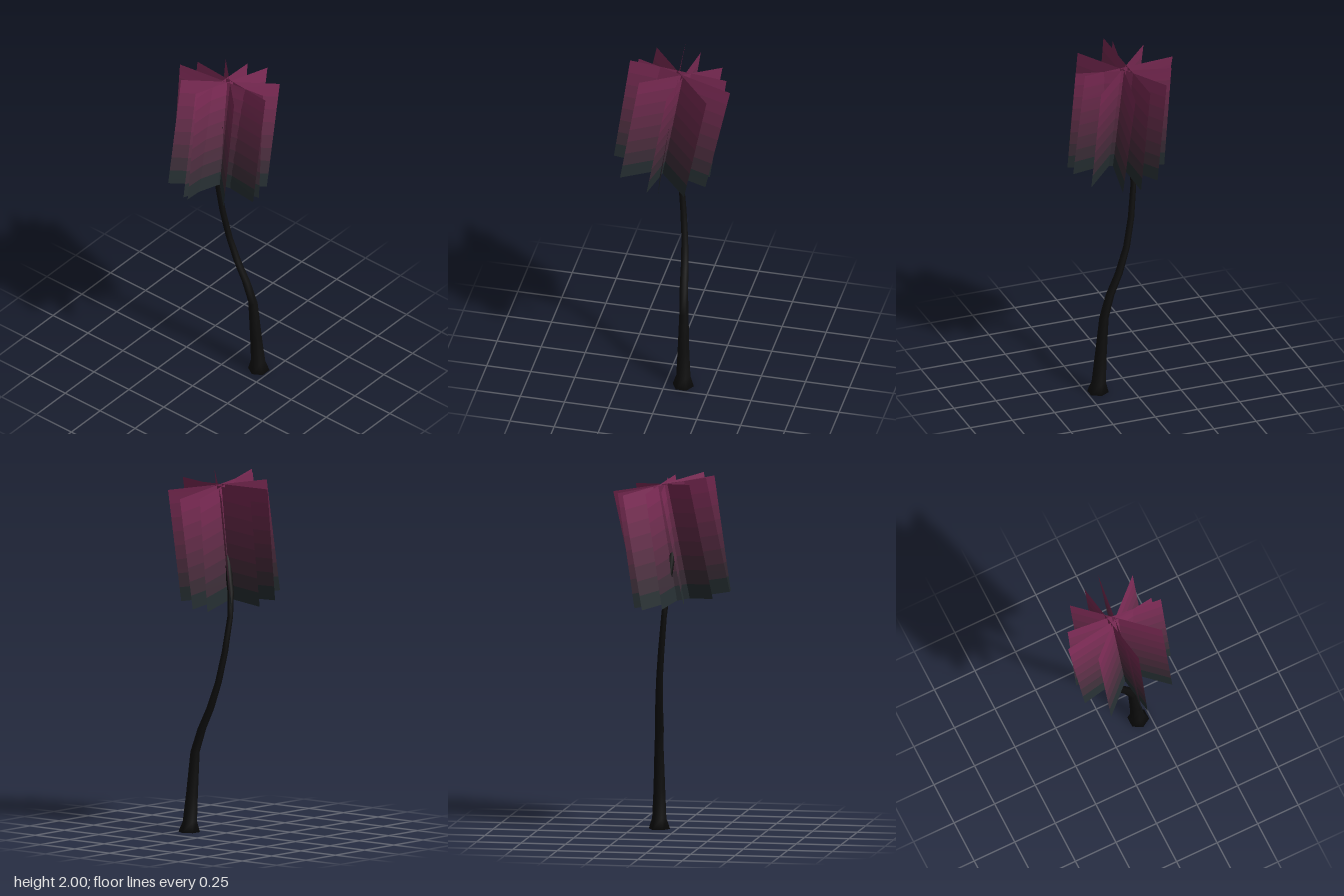
import * as THREE from 'three';

// Trunk centre line: x, y, z, radius
const TRUNK = [
  [0.10, 0, 0.185, 0], [0.10, 0, 0.185, 0.06], [0.10, 0.06, 0.18, 0.04],
  [0.097, 0.22, 0.167, 0.033], [0.095, 0.45, 0.147, 0.026], [0.085, 0.58, 0.107, 0.024],
  [0.077, 0.70, 0.052, 0.022], [0.066, 0.85, 0.002, 0.019], [0.05, 1.02, -0.031, 0.018],
  [0.03, 1.22, -0.053, 0.016], [0.016, 1.35, -0.044, 0.018], [0, 1.52, -0.008, 0.02],
  [-0.01, 1.60, 0.01, 0.014], [-0.02, 1.68, 0.022, 0],
];

// Each blade crosses the crown: top edge x,z to x,z, then bottom edge x,z to x,z
const BLADES = [
  [0.335, 0.053, -0.20, -0.02, 0.20, 0.075, -0.33, 0],
  [0.29, -0.052, -0.24, 0.02, 0.20, -0.032, -0.33, 0.03],
  [0.24, -0.168, -0.145, 0.21, 0.135, -0.155, -0.25, 0.222],
  [0.24, 0.22, -0.135, -0.177, 0.115, 0.23, -0.265, -0.163],
  [0.097, -0.252, 0.03, 0.29, 0.005, -0.245, -0.083, 0.295],
  [0, -0.297, 0.063, 0.247, -0.118, -0.252, -0.02, 0.285],
];

// The crown leans, so its top and bottom lie on tilted planes
const topPoint = (x, z) => new THREE.Vector3(x, 1.95 - 0.19 * (x - 0.045) + 0.04 * z, z);
const bottomPoint = (x, z) => new THREE.Vector3(x, 1.31 - 0.19 * (x + 0.065) + 0.04 * z, z);

function meshGeometry(positions, index) {
  const g = new THREE.BufferGeometry();
  g.setAttribute('position', new THREE.Float32BufferAttribute(positions, 3));
  g.setIndex(index);
  g.computeVertexNormals();
  return g;
}

// Loft six-sided rings along the bent centre line
function makeTrunk() {
  const sides = 6, positions = [], index = [];
  TRUNK.forEach(([x, y, z, r], i) => {
    for (let s = 0; s < sides; s++) {
      const a = (s / sides) * Math.PI * 2;
      positions.push(x + r * Math.cos(a), y, z + r * Math.sin(a));
      if (i === 0) continue;
      const n = (s + 1) % sides, lo = (i - 1) * sides, hi = i * sides;
      index.push(lo + s, hi + s, lo + n, lo + n, hi + s, hi + n);
    }
  });
  const trunk = new THREE.Mesh(meshGeometry(positions, index),
    new THREE.MeshStandardMaterial({ color: 0x0e0e0e }));
  trunk.name = 'trunk';
  return trunk;
}

// Crossing blades, cut into height bands that fade from dark teal to magenta
function makeCrown() {
  const crown = new THREE.Group();
  crown.name = 'crown';
  const bands = 8;
  const low = new THREE.Color(0x12302f), high = new THREE.Color(0x842c5a);
  for (let b = 0; b < bands; b++) {
    const positions = [], index = [];
    BLADES.forEach(([ax, az, bx, bz, cx, cz, dx, dz], i) => {
      const t1 = topPoint(ax, az), t2 = topPoint(bx, bz);
      const b1 = bottomPoint(cx, cz), b2 = bottomPoint(dx, dz);
      for (const t of [b / bands, (b + 1) / bands]) {
        positions.push(...b1.clone().lerp(t1, t).toArray(), ...b2.clone().lerp(t2, t).toArray());
      }
      const k = i * 4;
      index.push(k, k + 1, k + 2, k + 2, k + 1, k + 3);
    });
    const color = low.clone().lerp(high, (b + 0.5) / bands);
    const band = new THREE.Mesh(meshGeometry(positions, index),
      new THREE.MeshStandardMaterial({ color, side: THREE.DoubleSide }));
    band.name = `foliageBand${b + 1}`;
    crown.add(band);
  }
  return crown;
}

export function createModel() {
  const tree = new THREE.Group();
  tree.name = 'tree';
  tree.add(makeTrunk(), makeCrown());
  return tree;
}
